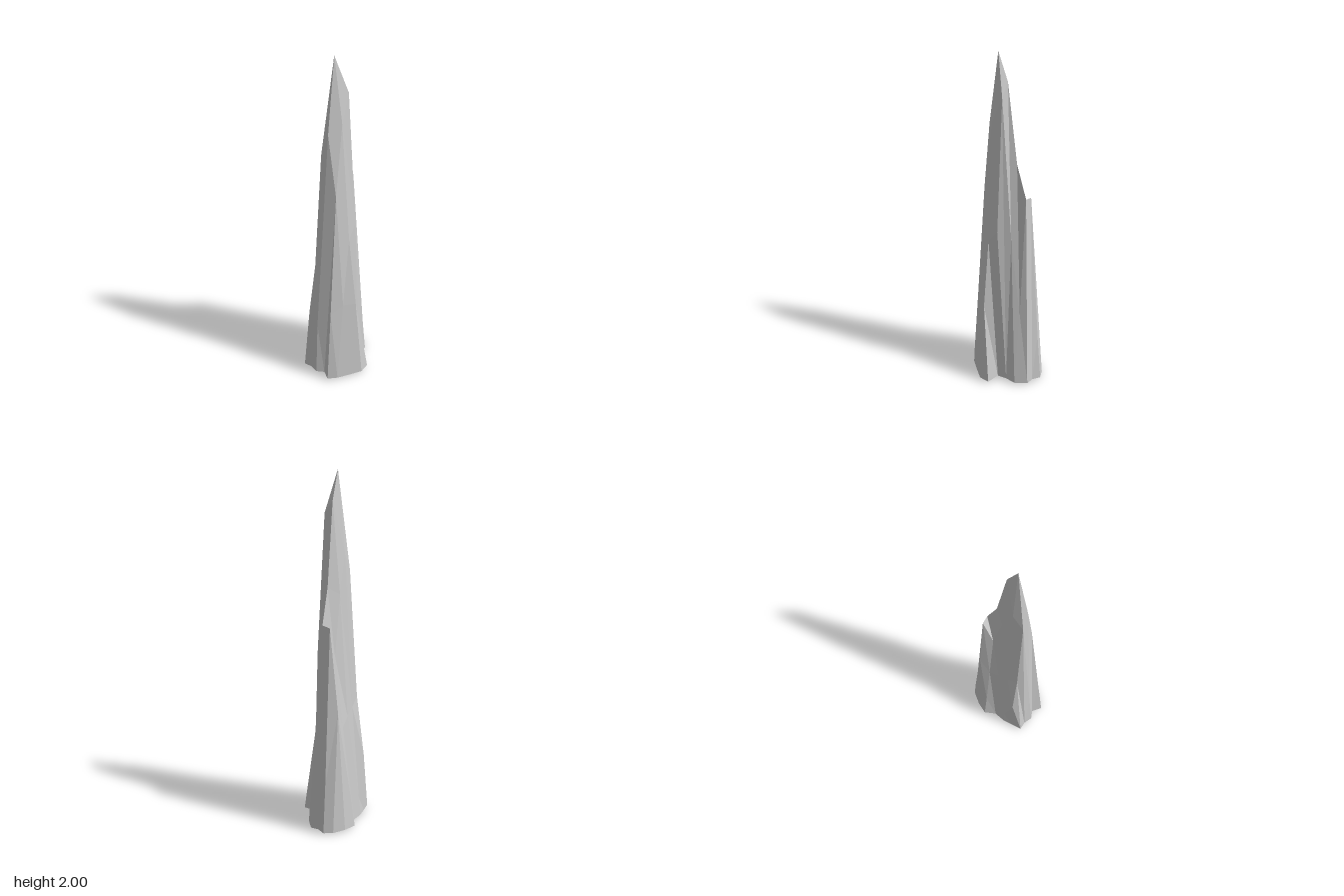
import * as THREE from 'three';

// Grid lines of the rock, and the height at each crossing (null = outside, 0 = foot)
const X = [-0.172, -0.143, -0.098, -0.05, -0.007, 0.039, 0.083, 0.128, 0.172];
const Z = [-0.215, -0.19, -0.13, -0.068, -0.007, 0.055, 0.116, 0.176, 0.213];
const _ = null;
const HEIGHTS = [
  [_, _, _, 0, _, _, _, _, _],
  [_, _, 0, 0.3, 0, 0, _, _, _],
  [_, 0, 0.72, 1.2, 1.21, 0.48, 0, _, _],
  [0, 0.22, 0.61, 1.02, 1.4, 0.95, 0, _, _],
  [_, 0, 0.65, 1.35, 1.85, 1.78, 1.0, 0, 0],
  [0, 0.12, 0.68, 1.55, 2, 1.63, 0.92, 0.5, 0],
  [0, 0.37, 0.72, 1.45, 1.58, 1.22, 0.51, 0, _],
  [_, 0, 0, 0.35, 0, 0.46, 0, _, _],
  [_, _, _, 0, _, 0, _, _, _],
];

// Foot points that stray from the grid, keyed by "row,column"
const STRAY = {
  '4,7': [0.094, -0.015],
  '5,0': [-0.153, 0.06],
  '6,0': [-0.148, 0.116],
  '8,3': [-0.05, 0.195],
};
const FOOT = 0.01;

function gridPoint(r, c) {
  const h = HEIGHTS[r][c];
  if (h === null) return null;
  const [x, z] = STRAY[`${r},${c}`] ?? [X[c], Z[r]];
  return { top: [x, Math.max(h, FOOT), z], base: [x, h > 0 ? 0 : FOOT, z] };
}

function facetMesh(name, positions) {
  const geometry = new THREE.BufferGeometry();
  geometry.setAttribute('position', new THREE.Float32BufferAttribute(positions, 3));
  geometry.computeVertexNormals();
  const mesh = new THREE.Mesh(
    geometry,
    new THREE.MeshStandardMaterial({ color: 0xcccccc, flatShading: true })
  );
  mesh.name = name;
  return mesh;
}

export function createModel() {
  const spire = [];
  const underside = [];

  const addTriangle = (p, q, s) => {
    spire.push(...p.top, ...q.top, ...s.top);
    underside.push(...p.base, ...s.base, ...q.base);
  };

  // Each grid cell gives two triangles, or one at the ragged outline
  for (let r = 0; r < Z.length - 1; r++) {
    for (let c = 0; c < X.length - 1; c++) {
      const loop = [
        gridPoint(r, c), gridPoint(r + 1, c), gridPoint(r + 1, c + 1), gridPoint(r, c + 1),
      ];
      const corners = loop.filter(Boolean);
      if (corners.length === 4) {
        addTriangle(loop[0], loop[1], loop[3]);
        addTriangle(loop[3], loop[1], loop[2]);
      } else if (corners.length === 3) {
        addTriangle(...corners);
      }
    }
  }

  const group = new THREE.Group();
  group.name = 'rockSpire';
  group.add(facetMesh('spire', spire), facetMesh('underside', underside));
  return group;
}
